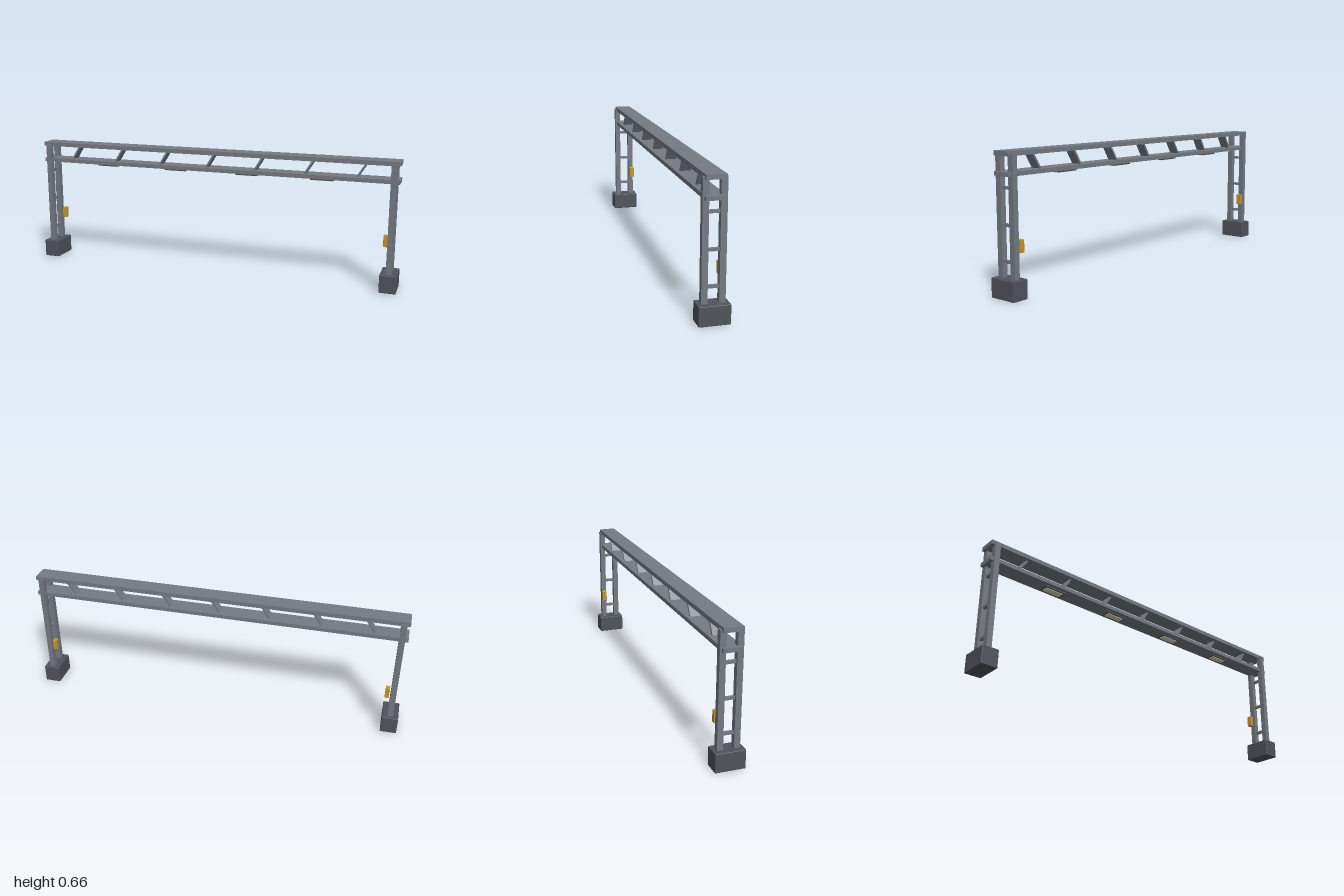
import * as THREE from 'three';
import { RoundedBoxGeometry } from 'three/addons/geometries/RoundedBoxGeometry.js';

function material(name, color) {
  const m = new THREE.MeshStandardMaterial({ color });
  m.name = name;
  return m;
}

export function createModel() {
  const steel = material('steel grey', 0x757a82);
  const concrete = material('dark footing grey', 0x50535b);
  const housing = material('lamp housing grey', 0x4a4d55);
  const lens = material('pale lens', 0xdcd6bc);
  const amber = material('amber', 0xc8962a);

  const model = new THREE.Group();
  model.name = 'gantry';

  // Box given by its minimum and maximum on each axis
  function box(parent, name, mat, [x0, x1], [y0, y1], [z0, z1], radius = 0) {
    const size = [x1 - x0, y1 - y0, z1 - z0];
    const geo = radius
      ? new RoundedBoxGeometry(...size, 2, radius)
      : new THREE.BoxGeometry(...size);
    const mesh = new THREE.Mesh(geo, mat);
    mesh.name = name;
    mesh.position.set((x0 + x1) / 2, (y0 + y1) / 2, (z0 + z1) / 2);
    parent.add(mesh);
    return mesh;
  }

  // Two ladder-like towers on footings
  for (const s of [1, -1]) {
    const tower = new THREE.Group();
    tower.name = s > 0 ? 'leftTower' : 'rightTower';
    model.add(tower);
    const span = (a, b) => (s > 0 ? [a, b] : [-b, -a]);

    box(tower, 'footing', concrete, span(0.915, 1), [0, 0.093], [-0.073, 0.073], 0.003);
    box(tower, 'frontPost', steel, span(0.944, 0.972), [0.05, 0.652], [0.026, 0.055]);
    box(tower, 'backPost', steel, span(0.944, 0.972), [0.05, 0.652], [-0.055, -0.026]);
    for (const y of [0.167, 0.333, 0.5]) {
      box(tower, 'rung', steel, span(0.951, 0.965), [y - 0.007, y + 0.007], [-0.027, 0.027]);
    }
    box(tower, 'controlBox', amber, span(0.914, 0.936), [0.21, 0.27], [-0.057, -0.03], 0.002);
  }

  // Horizontal truss: two flat chords joined by slanted plates
  const truss = new THREE.Group();
  truss.name = 'truss';
  model.add(truss);
  box(truss, 'topChord', steel, [-0.988, 0.988], [0.642, 0.664], [-0.046, 0.046]);
  box(truss, 'bottomChord', steel, [-0.988, 0.988], [0.553, 0.573], [-0.046, 0.046]);
  for (let i = -3; i <= 3; i++) {
    const x = i * 0.266;
    const brace = box(truss, 'brace', steel, [x - 0.005, x + 0.005], [0.561, 0.654], [-0.026, 0.026]);
    brace.rotation.z = -0.56;
  }

  // Lamps under the truss
  for (const x of [-0.6, -0.2, 0.2, 0.6]) {
    const lamp = new THREE.Group();
    lamp.name = 'lamp';
    model.add(lamp);
    box(lamp, 'lampHousing', housing, [x - 0.06, x + 0.06], [0.544, 0.554], [-0.026, 0.026]);
    box(lamp, 'lampLens', lens, [x - 0.05, x + 0.05], [0.541, 0.545], [-0.018, 0.018]);
  }

  return model;
}
